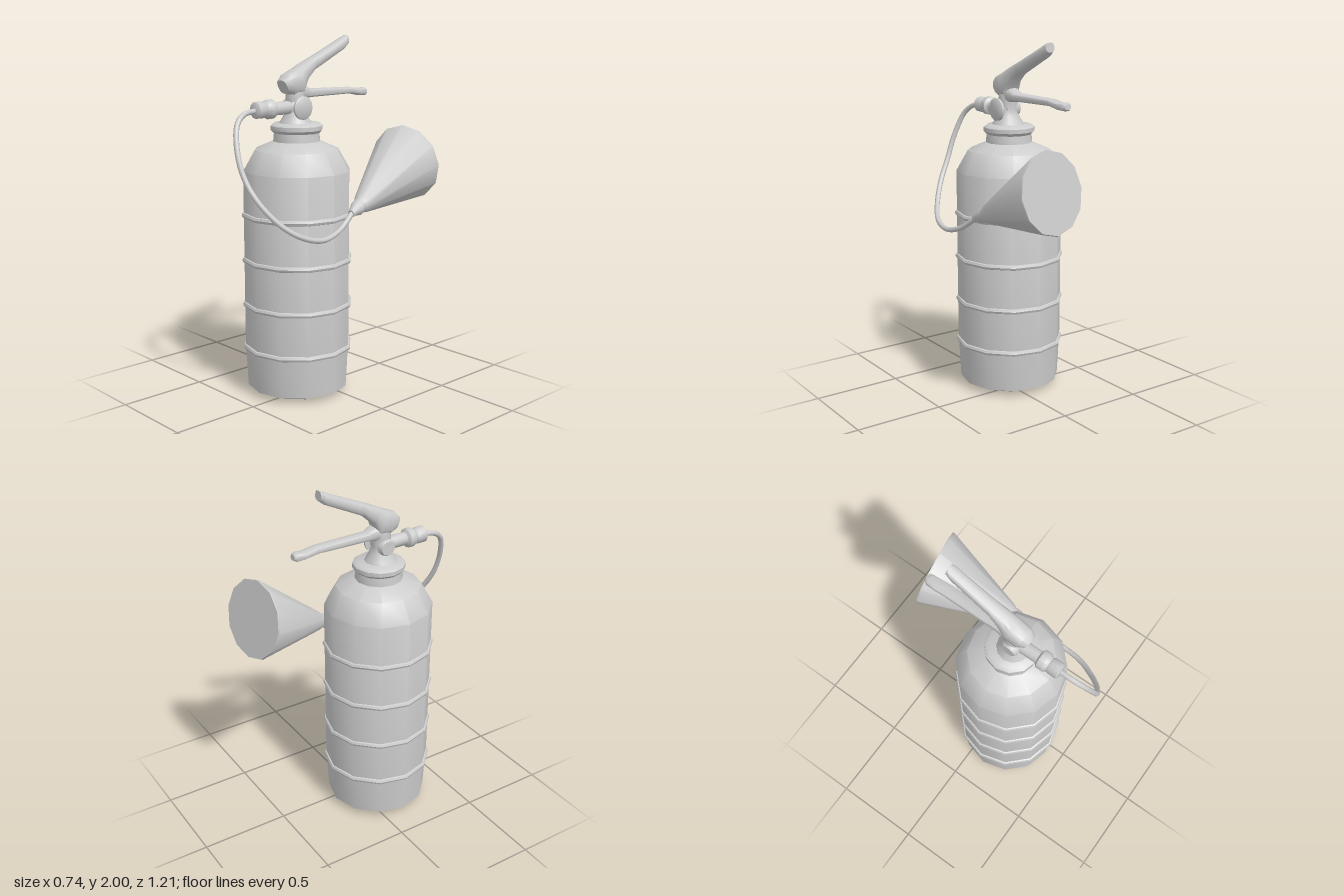
import * as THREE from 'three';
import { toCreasedNormals } from 'three/addons/utils/BufferGeometryUtils.js';

const CX = -0.063, CZ = 0.115; // cylinder axis
const VALVE_Y = 1.615, VALVE_Z = 0.132;
const material = new THREE.MeshStandardMaterial({ color: 0xcccccc });

function part(name, geometry, crease = 0.7) {
  const g = crease ? toCreasedNormals(geometry, crease) : geometry;
  const mesh = new THREE.Mesh(g, material);
  mesh.name = name;
  return mesh;
}

// Turned shape from [radius, height] pairs
function lathe(profile, sides = 12) {
  return new THREE.LatheGeometry(profile.map(([r, y]) => new THREE.Vector2(r, y)), sides);
}

// Rounded bar through sections [topZ, topY, bottomZ, bottomY, halfWidth], running towards -z
function loft(sections, sides = 12) {
  const pos = [], index = [];
  const round = v => Math.sign(v) * Math.abs(v) ** 0.75;
  for (const [tz, ty, bz, by, w] of sections) {
    for (let j = 0; j < sides; j++) {
      const a = (j / sides) * Math.PI * 2, s = round(Math.sin(a)) / 2;
      pos.push(CX + w * round(Math.cos(a)), (ty + by) / 2 + s * (ty - by), (tz + bz) / 2 + s * (tz - bz));
    }
  }
  const last = sections.length - 1;
  for (const [tz, ty, bz, by] of [sections[0], sections[last]]) {
    pos.push(CX, (ty + by) / 2, (tz + bz) / 2);
  }
  const start = sections.length * sides, end = start + 1;
  for (let j = 0; j < sides; j++) {
    const k = (j + 1) % sides;
    for (let i = 0; i < last; i++) {
      const a = i * sides + j, b = i * sides + k, c = a + sides, d = b + sides;
      index.push(a, c, b, b, c, d);
    }
    index.push(start, j, k, end, last * sides + k, last * sides + j);
  }
  const g = new THREE.BufferGeometry();
  g.setAttribute('position', new THREE.Float32BufferAttribute(pos, 3));
  g.setIndex(index);
  return g;
}

export function createModel() {
  const model = new THREE.Group();
  model.name = 'fireExtinguisher';

  // Tank with shoulder and neck
  const tank = part('tank', lathe([
    [0, 0], [0.22, 0.005], [0.287, 0.035], [0.298, 0.25], [0.3, 0.3], [0.3, 1.27],
    [0.235, 1.385], [0.132, 1.43], [0.127, 1.48], [0, 1.48],
  ]));
  tank.position.set(CX, 0, CZ);
  model.add(tank);

  // Raised bands around the tank
  for (const y of [0.265, 0.515, 0.77, 1.025]) {
    const band = part('tankBand', new THREE.TorusGeometry(0.295, 0.017, 8, 12));
    band.rotation.x = Math.PI / 2;
    band.position.set(CX, y, CZ);
    model.add(band);
  }

  // Neck collar and valve stem
  const collar = part('neckCollar', lathe([
    [0, 1.475], [0.127, 1.475], [0.145, 1.492], [0.145, 1.515], [0.125, 1.53], [0, 1.532],
  ]));
  collar.position.set(CX, 0, CZ);
  const stem = part('valveStem', lathe([
    [0.092, 1.525], [0.085, 1.54], [0.06, 1.58], [0.05, 1.62], [0.055, 1.66], [0.05, 1.7], [0, 1.7],
  ]));
  stem.position.set(CX, 0, VALVE_Z - 0.007);
  model.add(collar, stem);

  // Cross piece with gauge disc on the left
  const gauge = part('pressureGauge', lathe([
    [0, -0.065], [0.04, -0.065], [0.05, -0.05], [0.05, 0.03], [0.035, 0.04],
    [0.035, 0.063], [0.064, 0.066], [0.064, 0.078], [0.054, 0.085], [0, 0.085],
  ], 16));
  gauge.rotation.z = -Math.PI / 2;
  gauge.position.set(CX, VALVE_Y, VALVE_Z);
  model.add(gauge);

  // Outlet pipe pointing forwards
  const outlet = part('outletPipe', lathe([
    [0, 0.1], [0.036, 0.1], [0.036, 0.28], [0.053, 0.292], [0.053, 0.325],
    [0.04, 0.345], [0.045, 0.355], [0.045, 0.405], [0.035, 0.412], [0, 0.412],
  ]));
  outlet.rotation.x = Math.PI / 2;
  outlet.position.set(CX, VALVE_Y, 0);
  model.add(outlet);

  // Squeeze lever and fixed carrying grip
  model.add(part('squeezeLever', loft([
    [0.23, 1.765, 0.195, 1.69, 0.04], [0.2, 1.795, 0.16, 1.68, 0.058],
    [0.13, 1.825, 0.09, 1.685, 0.06], [0.08, 1.85, 0.06, 1.755, 0.05],
    [-0.02, 1.893, 0, 1.81, 0.04], [-0.16, 1.955, -0.13, 1.872, 0.036],
    [-0.24, 1.992, -0.225, 1.918, 0.035], [-0.255, 1.998, -0.26, 1.945, 0.028],
  ])));
  model.add(part('carryingGrip', loft([
    [0.13, 1.74, 0.14, 1.65, 0.045], [0.07, 1.735, 0.08, 1.655, 0.045],
    [0.03, 1.712, 0.03, 1.663, 0.036], [-0.28, 1.706, -0.28, 1.668, 0.036],
    [-0.35, 1.695, -0.345, 1.655, 0.035], [-0.395, 1.698, -0.4, 1.652, 0.032],
    [-0.412, 1.69, -0.416, 1.66, 0.02],
  ])));

  // Hose looping from the outlet down to the horn
  const path = new THREE.CatmullRomCurve3([
    [-0.063, 1.612, 0.4], [-0.06, 1.6, 0.48], [-0.04, 1.55, 0.545], [0.01, 1.41, 0.585],
    [0.06, 1.28, 0.58], [0.13, 1.16, 0.545], [0.21, 1.04, 0.46], [0.265, 0.972, 0.36],
    [0.285, 0.945, 0.24], [0.272, 0.975, 0.11], [0.25, 1.045, 0], [0.246, 1.06, -0.02],
  ].map(p => new THREE.Vector3(...p)));
  model.add(part('hose', new THREE.TubeGeometry(path, 48, 0.015, 8), 0));

  // Discharge horn: slightly sheared cone with a closed mouth
  const base = new THREE.Vector3(0.25, 1.05, 0);
  const axis = new THREE.Vector3(0.144, 1.27, -0.555).sub(base);
  const normal = new THREE.Vector3(-0.16, 0.2, -0.966).normalize();
  const u = new THREE.Vector3(0, 1, 0).cross(normal).normalize();
  const v = u.clone().cross(normal);
  const horn = lathe([
    [0, 0], [0.02, 0], [0.026, 0.04], [0.042, 0.1], [0.042, 0.15], [0.055, 0.19],
    [0.222, 0.985], [0.22, 1], [0, 1],
  ]);
  horn.applyMatrix4(new THREE.Matrix4().makeBasis(u, axis, v).setPosition(base));
  model.add(part('dischargeHorn', horn));

  return model;
}
